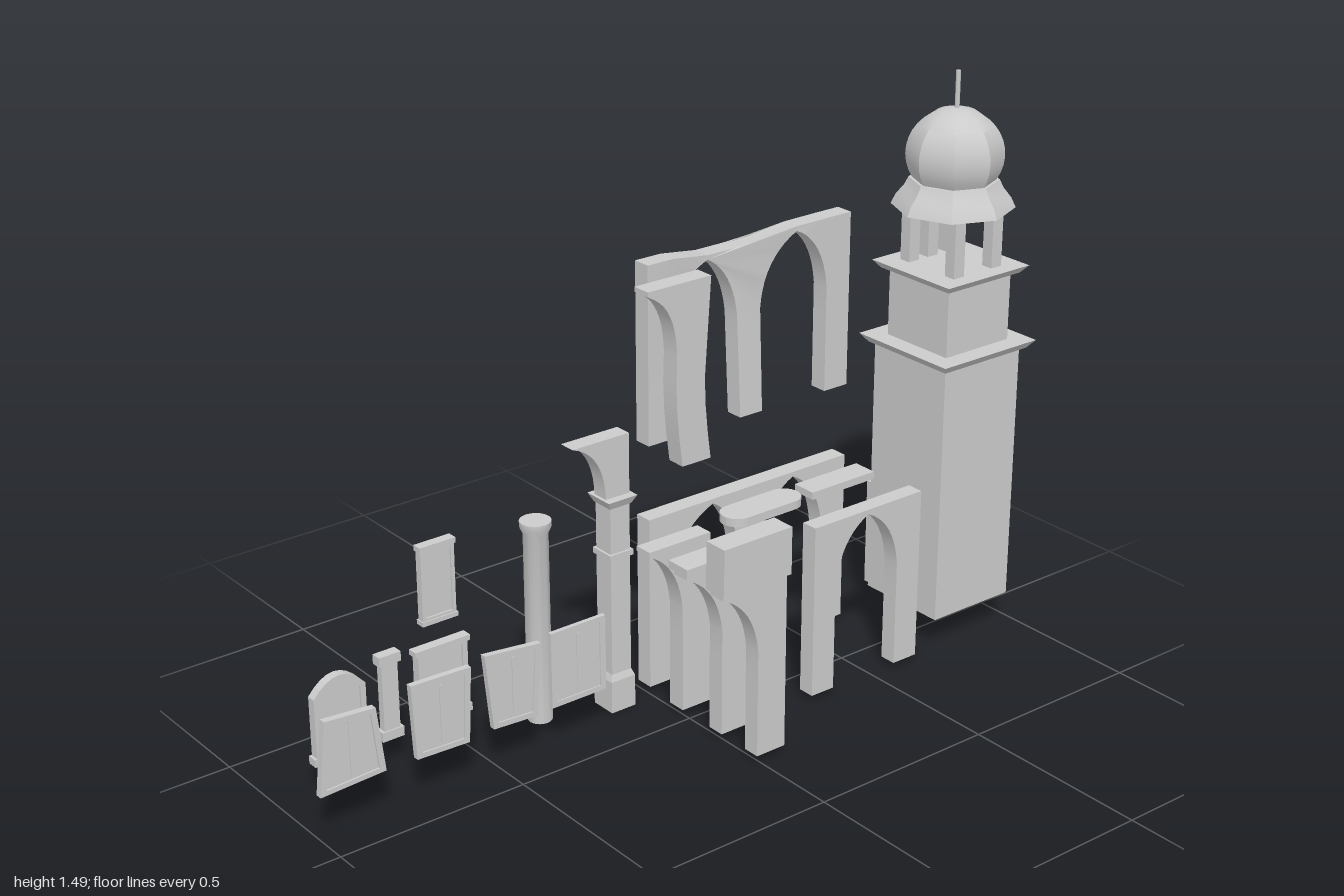
import * as THREE from 'three';
import { toCreasedNormals } from 'three/addons/utils/BufferGeometryUtils.js';

const grey = new THREE.MeshStandardMaterial({ color: 0xcccccc, side: THREE.DoubleSide });

export function createModel() {
  const root = new THREE.Group();

  const add = (name, geo, x = 0, y = 0, z = 0, parent = root) => {
    const m = new THREE.Mesh(geo, grey);
    m.name = name;
    m.position.set(x, y, z);
    parent.add(m);
    return m;
  };
  // Box given by its limits
  const box = (name, x0, x1, y0, y1, z0, z1, parent = root) =>
    add(name, new THREE.BoxGeometry(x1 - x0, y1 - y0, z1 - z0), (x0 + x1) / 2, (y0 + y1) / 2, (z0 + z1) / 2, parent);
  const extrude = (shape, depth, curveSegments = 8) =>
    new THREE.ExtrudeGeometry(shape, { depth, bevelEnabled: false, curveSegments });
  const polygon = pts => new THREE.Shape(pts.map(p => new THREE.Vector2(p[0], p[1])));
  // Square slab with sloping sides
  const frustum = (name, rBottom, rTop, y0, y1, x, z, parent) => {
    const g = new THREE.CylinderGeometry(rTop * Math.SQRT2, rBottom * Math.SQRT2, y1 - y0, 4, 1).toNonIndexed();
    g.rotateY(Math.PI / 4);
    g.computeVertexNormals();
    return add(name, g, x, (y0 + y1) / 2, z, parent);
  };

  // ---- Tower ----
  const tower = new THREE.Group();
  tower.name = 'tower';
  tower.position.set(0.838, 0, -0.007);
  root.add(tower);
  box('towerBody', -0.128, 0.128, 0.09, 0.785, -0.128, 0.128, tower);
  frustum('lowerCornice', 0.14, 0.157, 0.78, 0.802, 0, 0, tower);
  box('clockStage', -0.106, 0.106, 0.8, 0.985, -0.106, 0.106, tower);
  frustum('upperCornice', 0.122, 0.138, 0.98, 1.0, 0, 0, tower);
  const disc = new THREE.CylinderGeometry(0.065, 0.065, 0.022, 24);
  disc.rotateX(Math.PI / 2);
  add('clockDisc', disc, 0, 0.89, -0.115, tower);
  for (const [x, z] of [[-0.064, -0.08], [0.064, -0.08], [-0.064, 0.08], [0.064, 0.08], [0, -0.08]])
    box('belfryPillar', x - 0.017, x + 0.017, 0.99, 1.17, z - 0.016, z + 0.016, tower);

  // Twin blind arches at the foot of the back wall
  const blind = polygon([[-0.115, 0.09], [0.115, 0.09], [0.115, 0.38], [-0.115, 0.38]]);
  for (const x of [-0.051, 0.051]) {
    const hole = new THREE.Path();
    hole.moveTo(x - 0.037, 0.091);
    hole.lineTo(x - 0.037, 0.27);
    hole.quadraticCurveTo(x - 0.034, 0.33, x, 0.362);
    hole.quadraticCurveTo(x + 0.034, 0.33, x + 0.037, 0.27);
    hole.lineTo(x + 0.037, 0.091);
    blind.holes.push(hole);
  }
  add('blindArches', extrude(blind, 0.03), 0, 0, -0.156, tower);

  // Eight-sided skirt, ribbed dome and spire
  const lathe = (pts, sides) =>
    toCreasedNormals(new THREE.LatheGeometry(pts.map(p => new THREE.Vector2(p[0], p[1])), sides), 0.6);
  add('domeSkirt', lathe([[0, 1.165], [0.12, 1.165], [0.154, 1.15], [0.142, 1.175], [0.122, 1.2],
    [0.112, 1.22], [0, 1.22]], 8), 0, 0, 0, tower);
  const dome = [];
  for (let i = 0; i <= 12; i++) {
    const a = -0.56 + (i / 12) * (Math.PI / 2 + 0.56);
    dome.push([0.122 * Math.cos(a), 1.282 + 0.118 * Math.sin(a)]);
  }
  add('dome', lathe(dome, 8), 0, 0, 0, tower);
  add('spire', new THREE.CylinderGeometry(0.006, 0.006, 0.1, 8), 0, 1.442, 0, tower);

  // ---- Arches: a pier from a to b, with curved arms to tips tl / tr ----
  const Y0 = 0.02, SPRING = 0.3, TIP = 0.468, TOP = 0.48;
  const curve = (pier, tip) => new THREE.QuadraticBezierCurve(
    new THREE.Vector2(pier, SPRING), new THREE.Vector2(pier + (tip - pier) * 0.12, 0.425),
    new THREE.Vector2(tip, TIP)).getPoints(10).map(p => [p.x, p.y]);
  const side = x => [0.02, 0.09, 0.16, 0.23].map(y => [x, y]);
  const archPiece = (name, a, b, tl, tr, z0, z1, warp) => {
    const right = tr === null ? [...side(b), [b, TOP]] : [...side(b), ...curve(b, tr), [tr, TOP]];
    const left = tl === null ? [...side(a), [a, TOP]] : [...side(a), ...curve(a, tl), [tl, TOP]];
    const across = [];
    if (tr !== null) across.push([b, TOP]);
    if (tl !== null) across.push([a, TOP]);
    const g = extrude(polygon([...right, ...across, ...left.reverse()]), z1 - z0);
    g.translate(0, 0, z0);
    if (warp) {
      const p = g.attributes.position;
      const v = new THREE.Vector3();
      for (let i = 0; i < p.count; i++) {
        warp(v.fromBufferAttribute(p, i));
        p.setXYZ(i, v.x, v.y, v.z);
      }
      g.computeVertexNormals();
    }
    return add(name, toCreasedNormals(g, 0.45));
  };
  const B0 = -0.205, B1 = -0.157;
  // Raised row sags and leans back in the middle
  const sag = v => {
    const t = (v.y - Y0) / (TOP - Y0);
    const k = THREE.MathUtils.clamp(Math.min((v.x - 0.075) / 0.125, (0.47 - v.x) / 0.15), 0, 1);
    v.y += 0.656 - 0.025 * t * k;
    v.z -= 0.025 * t * k;
  };
  // Raised bracket has a bowed pier
  const bow = v => {
    const t = (v.y - Y0) / (TOP - Y0);
    v.x -= 0.018 * Math.sin(Math.PI * Math.min(1, t * 1.1));
    v.y += 0.656;
  };
  for (const [name, warp] of [['lowerArcade', null], ['upperArcade', sag]]) {
    archPiece(name + 'Start', 0, 0.075, null, 0.2, B0, B1, warp);
    archPiece(name + 'Middle', 0.285, 0.355, 0.2, 0.46, B0, B1, warp);
    archPiece(name + 'End', 0.56, 0.635, 0.46, null, B0, B1, warp);
  }
  archPiece('frontArchRight', 0.285, 0.355, null, 0.458, 0.085, 0.13);
  archPiece('frontArchLeft', 0.56, 0.635, 0.458, null, 0.085, 0.13);

  // Half-arch brackets, one with a tall block and one with a thin slab on top
  archPiece('bracketWithBlock', -0.01, 0.075, -0.118, null, 0.225, 0.27);
  box('block', -0.123, 0.08, 0.48, 0.602, 0.215, 0.28);
  archPiece('bracketWithSlab', -0.01, 0.075, -0.118, null, 0.09, 0.137);
  box('slab', -0.123, 0.08, 0.48, 0.5, 0.075, 0.145);
  archPiece('plainBracket', -0.01, 0.075, -0.11, null, -0.064, -0.014);
  archPiece('raisedBracket', -0.01, 0.075, -0.11, null, -0.064, -0.014, bow);

  // Flat slabs, one with rounded ends
  const stadium = new THREE.Shape();
  stadium.absarc(0.075, 0, 0.043, -Math.PI / 2, Math.PI / 2, false);
  stadium.absarc(-0.075, 0, 0.043, Math.PI / 2, Math.PI * 1.5, false);
  const round = extrude(stadium, 0.022, 12);
  round.rotateX(-Math.PI / 2);
  add('roundedSlab', toCreasedNormals(round, 0.5), 0.262, 0.467, -0.048);
  box('straightSlab', 0.405, 0.61, 0.468, 0.488, -0.085, -0.018);

  // ---- Square column carrying a bracket ----
  const cx = -0.098, cz = -0.174;
  frustum('columnBase', 0.036, 0.036, 0, 0.085, cx, cz);
  frustum('columnBaseSlope', 0.036, 0.028, 0.085, 0.105, cx, cz);
  frustum('columnShaft', 0.029, 0.029, 0.1, 0.57, cx, cz);
  frustum('columnBand', 0.035, 0.035, 0.415, 0.43, cx, cz);
  frustum('columnCapital', 0.032, 0.043, 0.552, 0.574, cx, cz);
  const arm = new THREE.Shape();
  arm.moveTo(-0.132, 0.57);
  arm.lineTo(-0.062, 0.57);
  arm.lineTo(-0.062, 0.73);
  arm.lineTo(-0.228, 0.73);
  arm.quadraticCurveTo(-0.135, 0.7, -0.132, 0.57);
  add('columnBracket', toCreasedNormals(extrude(arm, 0.046, 10), 0.45), 0, 0, -0.2);

  // ---- Round column ----
  add('roundColumn', lathe([[0, 0.01], [0.031, 0.01], [0.031, 0.515], [0.039, 0.532], [0.039, 0.547], [0, 0.547]], 20),
    -0.296, 0, -0.216);

  // ---- Shutters and windows: a frame round a thinner leaf ----
  const framed = (name, pts, z, depth, bar) => {
    const g = new THREE.Group();
    g.name = name;
    root.add(g);
    const n = pts.length;
    const mx = pts.reduce((s, p) => s + p[0], 0) / n;
    const ys = pts.map(p => p[1]);
    const my = (Math.min(...ys) + Math.max(...ys)) / 2;
    const inner = pts.map(([x, y]) => [mx + (x - mx) * 0.8, my + (y - my) * 0.86]);
    const frame = polygon(pts);
    frame.holes.push(new THREE.Path(inner.map(p => new THREE.Vector2(p[0], p[1]))));
    add('frame', extrude(frame, depth), 0, 0, z - depth / 2, g);
    add('leaf', extrude(polygon(inner), depth * 0.5), 0, 0, z - depth / 4, g);
    if (bar) box('middleBar', mx - 0.004, mx + 0.004, my - 0.075, my + 0.075, z - depth * 0.4, z + depth * 0.4, g);
  };
  // Corners run bottom left, bottom right, top right, top left
  framed('shutterFlared', [[-1, 0.117], [-0.825, 0.125], [-0.845, 0.295], [-0.98, 0.305]], -0.082, 0.018, true);
  framed('shutterLeaning', [[-0.74, 0.12], [-0.595, 0.115], [-0.585, 0.31], [-0.75, 0.315]], -0.083, 0.016, true);
  framed('shutterTapered', [[-0.525, 0.122], [-0.4, 0.115], [-0.385, 0.305], [-0.545, 0.322]], -0.085, 0.016, true);
  framed('shutterSquare', [[-0.355, 0.117], [-0.195, 0.117], [-0.195, 0.317], [-0.355, 0.317]], -0.085, 0.012, true);

  const Z = -0.271;
  const archTop = [];
  for (let i = 0; i <= 8; i++) {
    const u = i / 4 - 1;
    archTop.push([-0.828 - 0.07 * u, 0.25 + 0.043 * (1 - u * u)]);
  }
  framed('archedWindow', [[-0.898, 0.085], [-0.758, 0.085], ...archTop], Z, 0.024, false);
  box('archedWindowSill', -0.905, -0.75, 0.075, 0.095, Z - 0.014, Z + 0.014);
  framed('squareWindow', [[-0.612, 0.085], [-0.472, 0.085], [-0.472, 0.275], [-0.612, 0.275]], Z, 0.024, false);
  box('squareWindowSill', -0.62, -0.465, 0.075, 0.095, Z - 0.014, Z + 0.014);
  box('squareWindowHead', -0.62, -0.465, 0.266, 0.28, Z - 0.014, Z + 0.014);
  framed('tallPanel', [[-0.592, 0.345], [-0.498, 0.345], [-0.498, 0.54], [-0.592, 0.54]], Z, 0.02, false);
  box('tallPanelFoot', -0.595, -0.495, 0.34, 0.352, Z - 0.013, Z + 0.013);
  box('tallPanelHead', -0.595, -0.495, 0.532, 0.546, Z - 0.013, Z + 0.013);
  // Narrow pilaster with cap and foot
  box('pilaster', -0.712, -0.668, 0.085, 0.29, Z - 0.01, Z + 0.01);
  box('pilasterFoot', -0.72, -0.66, 0.075, 0.1, Z - 0.014, Z + 0.014);
  box('pilasterCap', -0.72, -0.66, 0.275, 0.3, Z - 0.014, Z + 0.014);

  return root;
}
